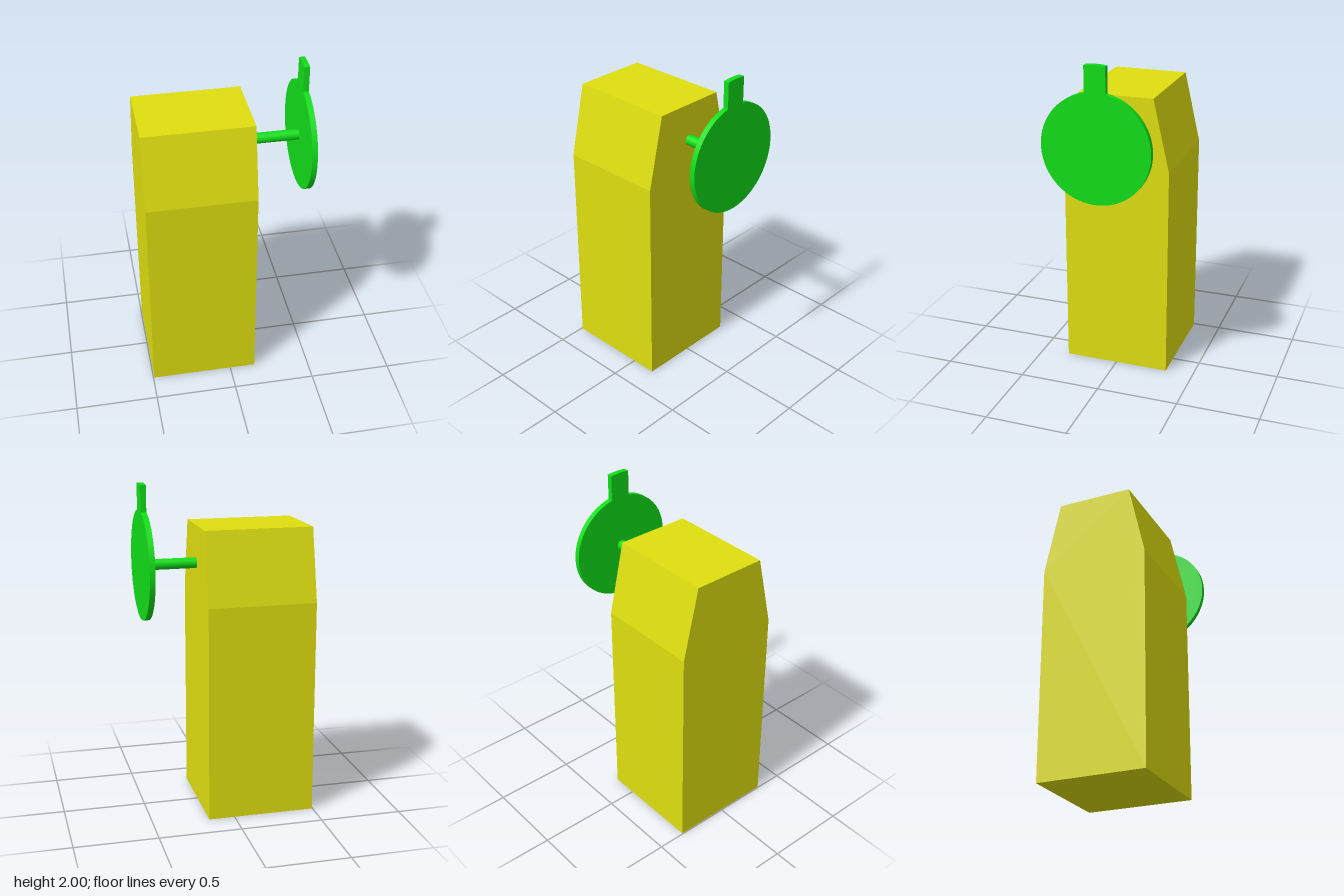
import * as THREE from 'three';

const yellow = new THREE.MeshStandardMaterial({ color: 0xdede10 });
const green = new THREE.MeshStandardMaterial({ color: 0x10de18 });

// Extrude a side profile along x, from x0 to x1
function extrudeAlongX(shape, x0, x1) {
  const geometry = new THREE.ExtrudeGeometry(shape, {
    depth: x1 - x0, bevelEnabled: false, curveSegments: 48,
  });
  return geometry.rotateY(Math.PI / 2).translate(x0, 0, 0);
}

export function createModel() {
  const group = new THREE.Group();
  const add = (name, geometry, material) => {
    const mesh = new THREE.Mesh(geometry, material);
    mesh.name = name;
    group.add(mesh);
    return mesh;
  };

  const bodyLeft = -0.495, bodyRight = 0.158;
  const discInner = 0.462, discOuter = 0.495, discY = 1.52;

  // Upright post whose front and back slope inward near the top
  const profile = new THREE.Shape([
    [-0.327, 0], [0.327, 0], [0.327, 1.31],
    [0.228, 1.746], [-0.228, 1.746], [-0.327, 1.31],
  ].map(([z, y]) => new THREE.Vector2(z, y)));
  add('body', extrudeAlongX(profile, bodyLeft, bodyRight), yellow);

  // Short round axle joining body and disc
  const axle = new THREE.CylinderGeometry(0.032, 0.032, discInner - bodyRight, 32);
  axle.rotateZ(Math.PI / 2).translate((bodyRight + discInner) / 2, discY, 0);
  add('axle', axle, green);

  // Disc with a narrow tab on top, ending in a shallow arc
  const radius = 0.326, tabRadius = 0.48, tabHalf = 0.063, up = Math.PI / 2;
  const a = Math.asin(tabHalf / radius), b = Math.asin(tabHalf / tabRadius);
  const outline = new THREE.Shape();
  outline.absarc(0, 0, radius, up - a, up + a, true);
  outline.absarc(0, 0, tabRadius, up + b, up - b, true);
  outline.closePath();
  add('discWithTab', extrudeAlongX(outline, discInner, discOuter), green).position.y = discY;

  return group;
}
